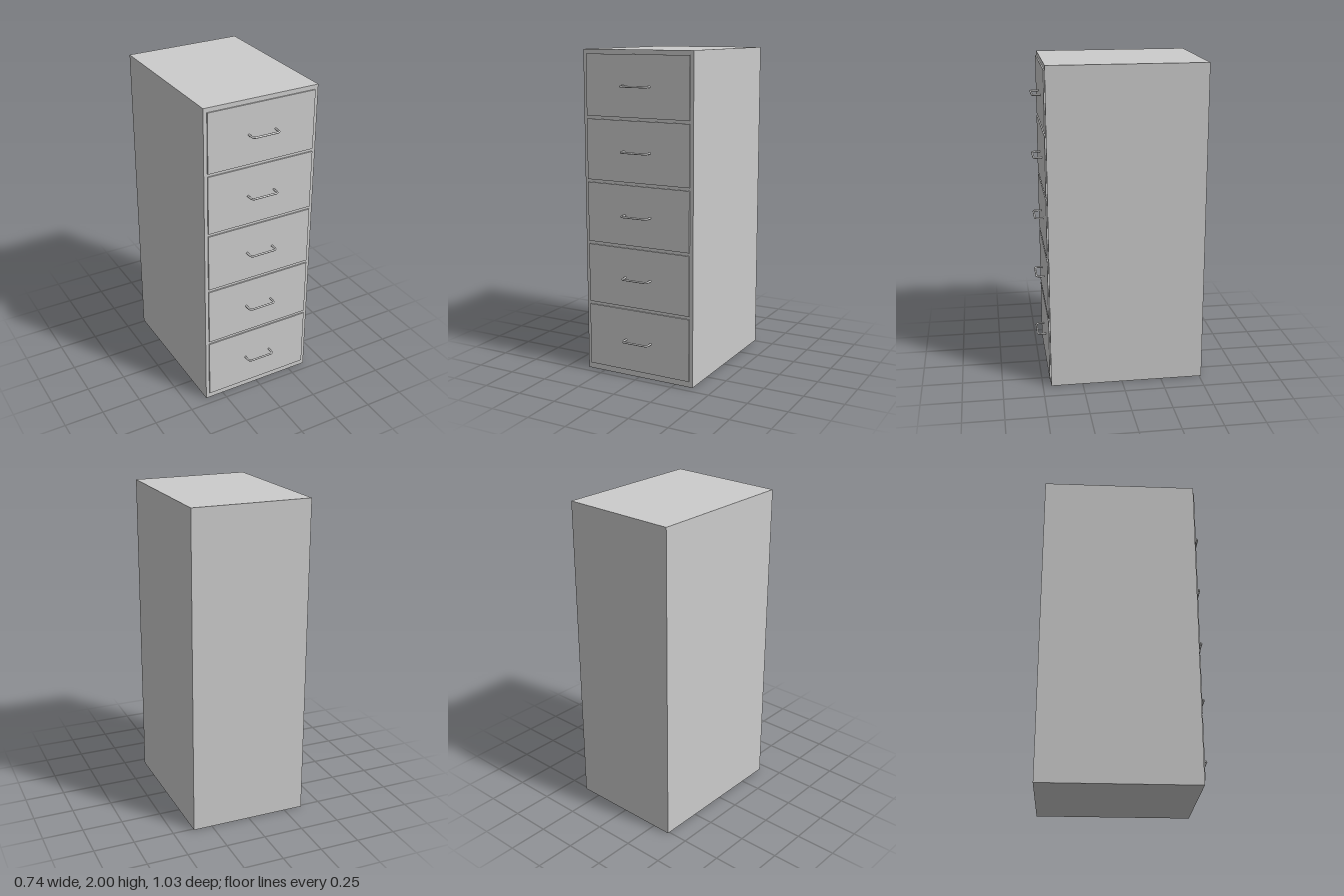
import * as THREE from 'three';

const HALF_WIDTH = 0.369, BACK = -0.513, FRONT = 0.448, FACE = 0.456;

// Drawer fronts: [bottom, top]
const DRAWERS = [[0.037, 0.426], [0.445, 0.813], [0.832, 1.2], [1.218, 1.587], [1.605, 1.973]];

// Bent-rod pull with rounded corners, lying in the horizontal plane
function handleGeometry() {
  const x = 0.087, z = 0.507, r = 0.016, tube = 0.006;
  const v = (px, pz) => new THREE.Vector3(px, 0, pz);
  const points = [v(-x, FACE - 0.004), v(-x, z - r)];
  for (const [cx, start] of [[-x + r, Math.PI], [x - r, Math.PI / 2]]) {
    for (let i = 1; i <= 5; i++) {
      const a = start - (i / 5) * Math.PI / 2;
      points.push(v(cx + r * Math.cos(a), z - r + r * Math.sin(a)));
    }
    if (cx < 0) points.push(v(x - r, z));
  }
  points.push(v(x, FACE - 0.004));
  const path = new THREE.CurvePath();
  for (let i = 1; i < points.length; i++) path.add(new THREE.LineCurve3(points[i - 1], points[i]));
  return new THREE.TubeGeometry(path, 120, tube, 12, false);
}

export function createModel() {
  const model = new THREE.Group();
  model.name = 'filingCabinet';
  const material = new THREE.MeshStandardMaterial({ color: 0xcccccc });

  const add = (parent, name, geometry, y, z) => {
    const mesh = new THREE.Mesh(geometry, material);
    mesh.name = name;
    mesh.position.set(0, y, z);
    parent.add(mesh);
  };

  // Cabinet body
  add(model, 'body', new THREE.BoxGeometry(HALF_WIDTH * 2, 2, FRONT - BACK), 1, (FRONT + BACK) / 2);

  // Drawers with their pulls
  const pull = handleGeometry();
  DRAWERS.forEach(([bottom, top], i) => {
    const drawer = new THREE.Group();
    drawer.name = `drawer${i + 1}`;
    drawer.position.y = (bottom + top) / 2;
    const depth = FACE - FRONT + 0.004;
    add(drawer, 'drawerFront', new THREE.BoxGeometry(0.694, top - bottom, depth), 0, FACE - depth / 2);
    add(drawer, 'handle', pull, 0, 0);
    model.add(drawer);
  });

  return model;
}
